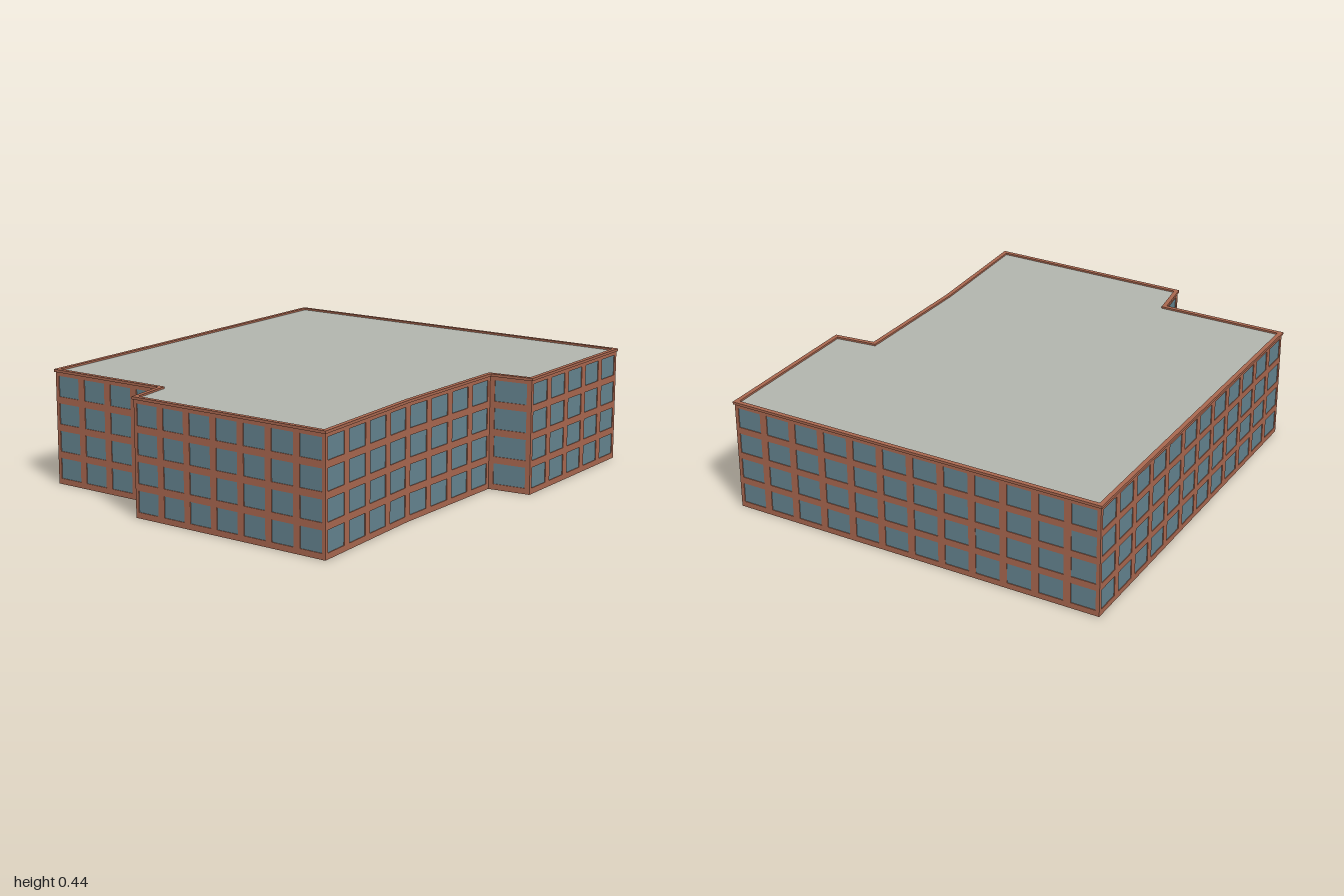
import * as THREE from 'three';

const mat = (name, color, side = THREE.FrontSide) => {
  const m = new THREE.MeshStandardMaterial({ color, side });
  m.name = name;
  return m;
};

// Outline of the roof edge as [x, z], running left to right seen from outside
const OUTLINE = [
  [-0.42, 0.987], [0.068, 0.825], [0.148, 0.977], [0.952, 0.715], [0.75, 0.22],
  [0.58, -0.285], [0.732, -0.355], [0.505, -0.992], [-0.956, -0.505],
];
const STOREYS = 4, STOREY = 0.105, WALL_TOP = 0.43, TOP = 0.44;
const BAY = 0.128, WIN_H = 0.079, SILL = 0.022, THICK = 0.006;

// Move every corner inward by d, keeping the sides parallel
function inset(points, d) {
  const n = points.length;
  const normal = (a, b) => {
    const l = Math.hypot(b[0] - a[0], b[1] - a[1]);
    return [-(b[1] - a[1]) / l, (b[0] - a[0]) / l];
  };
  return points.map((p, i) => {
    const u = normal(points[(i + n - 1) % n], p), v = normal(p, points[(i + 1) % n]);
    const k = d / (1 + u[0] * v[0] + u[1] * v[1]);
    return [p[0] - (u[0] + v[0]) * k, p[1] - (u[1] + v[1]) * k];
  });
}

const toVectors = (points) => points.map(([x, z]) => new THREE.Vector2(x, -z));

function rectangle(Type, x, y, w, h) {
  return new Type([[x, y], [x + w, y], [x + w, y + h], [x, y + h]].map((p) => new THREE.Vector2(...p)));
}

export function createModel() {
  const brick = mat('brick', 0xa9674f);
  const glass = mat('window glass', 0x64838f, THREE.DoubleSide);
  const roofing = mat('roofing', 0xb2b5ae, THREE.DoubleSide);

  const model = new THREE.Group();
  model.name = 'building';
  const add = (parent, name, geometry, material) => {
    const mesh = new THREE.Mesh(geometry, material);
    mesh.name = name;
    parent.add(mesh);
    return mesh;
  };

  // Walls: one pierced panel per side, with glass set into each opening
  const base = inset(OUTLINE, 0.005);
  base.forEach((a, i) => {
    const b = base[(i + 1) % base.length];
    const dx = b[0] - a[0], dz = b[1] - a[1], length = Math.hypot(dx, dz);
    const side = new THREE.Group();
    side.name = 'facade';
    side.position.set(a[0], 0, a[1]);
    side.rotation.y = Math.atan2(-dz, dx);
    model.add(side);

    const panel = rectangle(THREE.Shape, 0, 0, length, WALL_TOP);
    const bays = Math.max(1, Math.round(length / BAY));
    const bay = length / bays, w = bay * 0.77;
    for (let c = 0; c < bays; c++) {
      for (let s = 0; s < STOREYS; s++) {
        const x = c * bay + (bay - w) / 2, y = SILL + s * STOREY;
        panel.holes.push(rectangle(THREE.Path, x, y, w, WIN_H));
        add(side, 'window', new THREE.PlaneGeometry(w, WIN_H), glass)
          .position.set(x + w / 2, y + WIN_H / 2, -THICK / 2);
      }
    }
    const wall = new THREE.ExtrudeGeometry(panel, { depth: THICK, bevelEnabled: false });
    add(side, 'wall', wall.translate(0, 0, -THICK), brick);
  });

  // Coping: a thin ring that overhangs the walls slightly
  const ring = new THREE.Shape(toVectors(OUTLINE));
  ring.holes.push(new THREE.Path(toVectors(inset(OUTLINE, 0.018))));
  const coping = new THREE.ExtrudeGeometry(ring, { depth: TOP - WALL_TOP, bevelEnabled: false });
  add(model, 'coping', coping.rotateX(-Math.PI / 2).translate(0, WALL_TOP, 0), brick);

  // Flat roof just below the coping top; the shell is open underneath
  const roof = new THREE.ShapeGeometry(new THREE.Shape(toVectors(inset(OUTLINE, 0.008))));
  add(model, 'roof', roof.rotateX(-Math.PI / 2).translate(0, WALL_TOP + 0.003, 0), roofing);

  return model;
}
